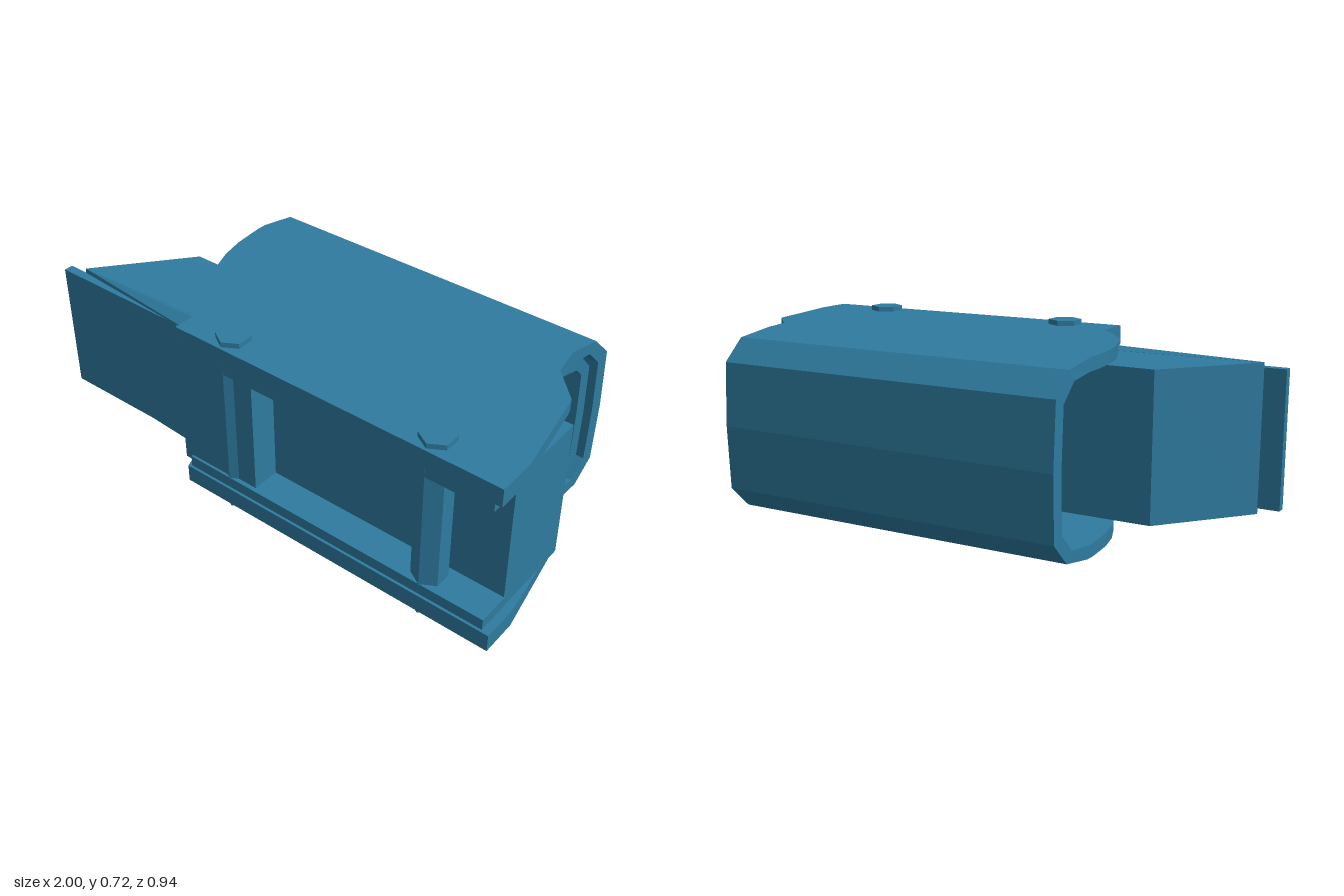
import * as THREE from 'three';
import { ConvexGeometry } from 'three/addons/geometries/ConvexGeometry.js';

const MID = 0.3625; // height of the mirror plane between top and bottom

export function createModel() {
  const model = new THREE.Group();
  model.name = 'clampHousing';
  const blue = new THREE.MeshStandardMaterial({ color: 0x2e7ba0 });
  blue.name = 'steelBlue';

  const add = (name, geometry) => {
    const mesh = new THREE.Mesh(geometry, blue);
    mesh.name = name;
    model.add(mesh);
    return mesh;
  };

  // Horizontal slab: an (x, z) outline between two heights, with optional holes
  const slab = (outline, yLow, yHigh, holes = []) => {
    const shape = new THREE.Shape(outline.map(([x, z]) => new THREE.Vector2(x, z)));
    for (const [cx, cz, r] of holes) {
      const ring = [];
      for (let i = 0; i < 8; i++) {
        const a = (i + 0.5) * Math.PI / 4;
        ring.push(new THREE.Vector2(cx + r * Math.cos(a), cz + r * Math.sin(a)));
      }
      shape.holes.push(new THREE.Path(ring));
    }
    const g = new THREE.ExtrudeGeometry(shape, { depth: yHigh - yLow, bevelEnabled: false });
    return g.rotateX(Math.PI / 2).translate(0, yHigh, 0);
  };

  // x of an end edge at depth z; edges run from front to back
  const edgeX = (edge, z) => {
    for (let i = 0; i < edge.length - 1; i++) {
      const [x0, z0] = edge[i], [x1, z1] = edge[i + 1];
      if (z <= z0 && z >= z1) return x0 + (x1 - x0) * (z0 - z) / (z0 - z1);
    }
    return z > edge[0][1] ? edge[0][0] : edge[edge.length - 1][0];
  };

  // Rounded back of a U shell, from [z, y] half profiles mirrored about MID
  const backWall = (outerHalf, innerHalf, left, right) => {
    const full = (half) => [...half, ...half.slice(0, -1).reverse().map(([z, y]) => [z, 2 * MID - y])];
    const ends = ([z, y]) => ({ R: [edgeX(right, z), y, z], L: [edgeX(left, z), y, z] });
    const O = full(outerHalf).map(ends), I = full(innerHalf).map(ends);
    const pos = [];
    const quad = (a, b, c, d) => pos.push(...a, ...b, ...c, ...a, ...c, ...d);
    for (let i = 0; i < O.length - 1; i++) {
      const j = i + 1;
      quad(O[i].R, O[j].R, O[j].L, O[i].L);
      quad(I[i].L, I[j].L, I[j].R, I[i].R);
      quad(O[i].R, I[i].R, I[j].R, O[j].R);
      quad(O[j].L, I[j].L, I[i].L, O[i].L);
    }
    const g = new THREE.BufferGeometry();
    g.setAttribute('position', new THREE.Float32BufferAttribute(pos, 3));
    g.computeVertexNormals();
    return g;
  };

  // U shell: two side plates joined by the back wall
  const shell = (name, left, right, outerHalf, innerHalf, holes) => {
    const zBack = outerHalf[0][0], yOut = outerHalf[0][1], yIn = innerHalf[0][1];
    const cut = (edge) => [...edge.filter((p) => p[1] > zBack), [edgeX(edge, zBack), zBack]];
    const outline = [...cut(left), ...cut(right).reverse()];
    add(name + 'TopPlate', slab(outline, yIn, yOut));
    add(name + 'BottomPlate', slab(outline, 2 * MID - yOut, 2 * MID - yIn, holes));
    add(name + 'BackWall', backWall(outerHalf, innerHalf, left, right));
  };

  // Outer shell with two round openings underneath
  shell('outerShell',
    [[-0.31, 0.47], [-0.31, 0.33], [-0.37, 0.265], [-0.425, 0.19], [-0.47, 0.1], [-0.505, 0.01],
      [-0.525, -0.08], [-0.535, -0.2], [-0.53, -0.35], [-0.52, -0.47]],
    [[1, 0.47], [1, 0.33], [0.94, 0], [0.935, -0.02], [0.83, -0.13], [0.81, -0.24], [0.835, -0.47]],
    [[-0.24, 0.705], [-0.38, 0.682], [-0.458, 0.6], [-0.468, MID]],
    [[-0.24, 0.657], [-0.35, 0.643], [-0.412, 0.577], [-0.42, MID]],
    [[0.7, 0.09, 0.145], [0.25, 0.2, 0.145]]);

  // Inner shell
  shell('innerShell',
    [[-0.3, 0.46], [-0.3, -0.4]],
    [[0.97, 0.46], [0.97, 0.33], [0.91, 0.01], [0.81, -0.105], [0.785, -0.24], [0.81, -0.4]],
    [[-0.25, 0.637], [-0.34, 0.626], [-0.39, 0.565], [-0.396, MID]],
    [[-0.245, 0.592], [-0.318, 0.582], [-0.35, 0.547], [-0.355, MID]]);

  const hull = (pts) => new ConvexGeometry(pts.map((p) => new THREE.Vector3(...p)));

  // Thickened front lips of the outer shell, tapering into the plates
  for (const [name, s] of [['topLip', 1], ['bottomLip', -1]]) {
    const pts = [];
    for (const [x0, x1, z, h] of [[-0.31, 1, 0.47, 0.273], [-0.31, 1, 0.33, 0.273],
      [-0.31, 1, 0.47, 0.297], [-0.31, 1, 0.33, 0.297], [-0.42, 0.975, 0.2, 0.295]]) {
      pts.push([x0, MID + s * h, z], [x1, MID + s * h, z]);
    }
    add(name, hull(pts));
  }

  // Core block with its slanted end
  add('coreBlock', slab([[-0.92, 0.335], [-0.65, 0.005], [0.968, 0.008], [0.968, 0.335]], 0.089, 0.636));

  // Sloping shoulders between the core and the front blade
  const shoulder = [];
  for (const s of [1, -1]) {
    shoulder.push([-0.92, MID + s * 0.274, 0.335], [-0.31, MID + s * 0.29, 0.335],
      [-0.92, MID + s * 0.257, 0.336], [-0.31, MID + s * 0.26, 0.38], [-0.31, MID + s * 0.274, 0.3]);
  }
  add('shoulder', hull(shoulder));

  // Front blade stepping out to the raised panel
  add('frontBlade', slab([[-1, 0.335], [-1, 0.37], [-0.42, 0.37], [-0.35, 0.41], [-0.335, 0.45],
    [-0.11, 0.45], [-0.1, 0.443], [0, 0.443], [0, 0.33]], 0.11, 0.618));

  // Hexagonal pins running through both shells
  for (const [name, x] of [['rightPin', -0.11], ['leftPin', 0.72]]) {
    add(name, new THREE.CylinderGeometry(0.0625, 0.0625, 0.724, 6).toNonIndexed())
      .position.set(x, 0.362, 0.398);
  }
  model.traverse((m) => { if (m.name.endsWith('Pin')) m.geometry.computeVertexNormals(); });
  return model;
}
